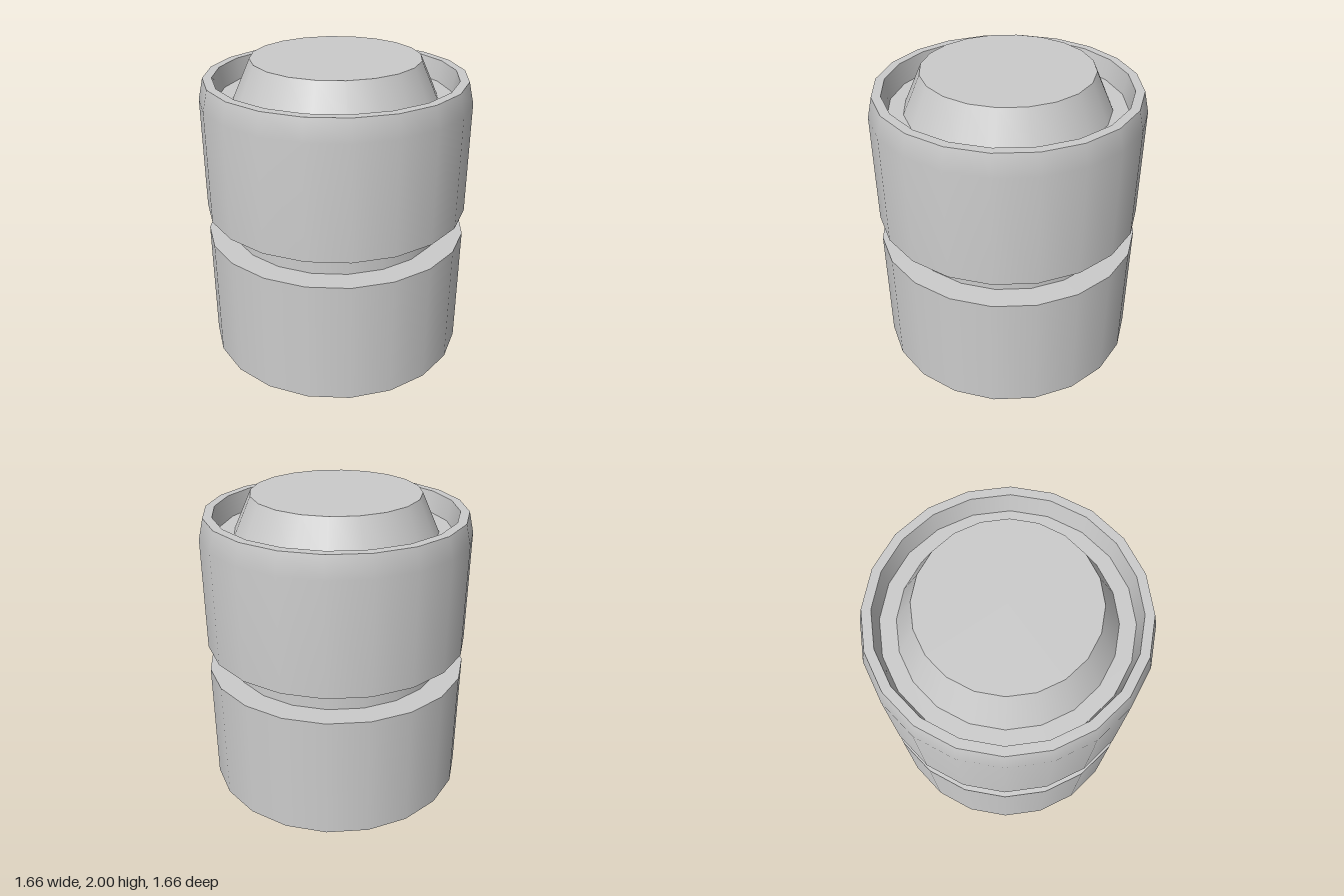
import * as THREE from 'three';
import { mergeGeometries } from 'three/addons/utils/BufferGeometryUtils.js';

const SIDES = 20;
const material = new THREE.MeshStandardMaterial({ color: 0xcccccc });

// Each strip is a smooth [radius, y] profile; edges between strips stay sharp.
function turned(name, ...strips) {
  const geometries = strips.map((strip) =>
    new THREE.LatheGeometry(strip.map(([r, y]) => new THREE.Vector2(r, y)), SIDES));
  const mesh = new THREE.Mesh(mergeGeometries(geometries), material);
  mesh.name = name;
  return mesh;
}

export function createModel() {
  const group = new THREE.Group();
  group.name = 'groovedCylinder';

  const body = 0.83;
  const neck = 0.68;
  const recessY = 1.76;
  const rimY = 1.89;

  group.add(
    // Chamfered foot
    turned('foot', [[0, 0], [0.63, 0]], [[0.63, 0], [0.73, 0.095]]),
    // Lower drum with its underside and top ledge
    turned('lowerBody',
      [[0.73, 0.095], [body, 0.095]],
      [[body, 0.095], [body, 0.89]],
      [[body, 0.89], [neck, 0.89]]),
    // Narrow neck between the drums
    turned('neck', [[neck, 0.89], [neck, 1.055]]),
    // Upper drum, softly tapered at the top
    turned('upperBody',
      [[neck, 1.055], [body, 1.055]],
      [[body, 1.055], [body, recessY], [0.8, rimY]]),
    // Rim and the recess inside it
    turned('rim',
      [[0.8, rimY], [0.745, rimY]],
      [[0.745, rimY], [0.72, recessY]],
      [[0.72, recessY], [0.625, recessY]]),
    // Tapered button in the recess
    turned('button', [[0.625, recessY], [0.517, 2]], [[0.517, 2], [0, 2]]),
  );
  return group;
}
